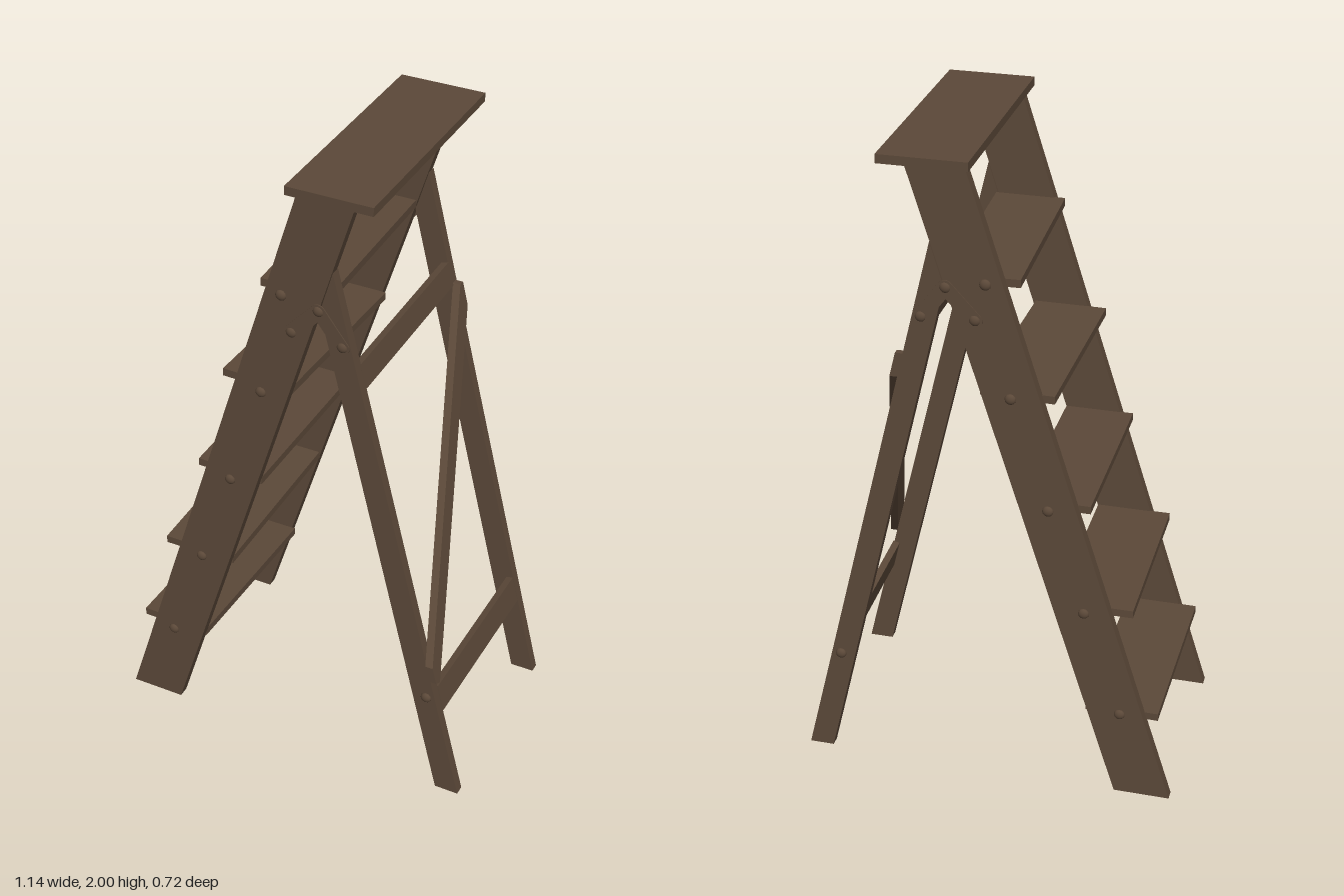
import * as THREE from 'three';

const wood = new THREE.MeshStandardMaterial({ color: 0x5c4939 });
wood.name = 'dark wood';

export function createModel() {
  const model = new THREE.Group();
  model.name = 'stepladder';

  const add = (name, geometry, parent = model) => {
    const mesh = new THREE.Mesh(geometry, wood);
    mesh.name = name;
    parent.add(mesh);
    return mesh;
  };
  // Flat board: an outline in x and y, extruded from z0 to z1
  const board = (points, z0, z1) => {
    const shape = new THREE.Shape(points.map(([x, y]) => new THREE.Vector2(x, y)));
    return new THREE.ExtrudeGeometry(shape, { depth: z1 - z0, bevelEnabled: false }).translate(0, 0, z0);
  };
  // x of the rear legs' outer edge at a given height
  const legEdge = (y) => 0.57 - 0.2425 * y;

  // Top platform
  add('platform', new THREE.BoxGeometry(0.256, 0.026, 0.716)).position.set(0.152, 1.987, 0);

  // Side frames: wide rail, narrow rear leg, hinge plate and bolts
  const bolts = [
    [-0.01, 1.64], [-0.08, 1.3], [-0.19, 0.955], [-0.3, 0.625], [-0.415, 0.285],
    [0.02, 1.53], [0.103, 1.62], [0.175, 1.525], [0.455, 0.355],
  ];
  for (const side of [1, -1]) {
    const frame = new THREE.Group();
    frame.name = side > 0 ? 'frontSideFrame' : 'rearSideFrame';
    model.add(frame);
    const slab = (name, points, inner, outer) =>
      add(name, side > 0 ? board(points, inner, outer) : board(points, -outer, -inner), frame);

    slab('rail', [[-0.575, 0], [-0.405, 0], [0.215, 1.976], [0.045, 1.976]], 0.29, 0.323);
    slab('rearLeg', [[0.495, 0], [0.57, 0], [0.146, 1.75], [0.107, 1.62]], 0.291, 0.322);

    // Hinge arms with rounded ends around the pivot
    for (const [x, y] of [[0.02, 1.53], [0.175, 1.525]]) {
      const dx = x - 0.103, dy = y - 1.62, r = 0.022;
      const a = Math.atan2(dy, dx);
      const arm = new THREE.Shape();
      arm.absarc(x, y, r, a - Math.PI / 2, a + Math.PI / 2);
      arm.absarc(0.103, 1.62, r, a + Math.PI / 2, a + Math.PI * 1.5);
      const plate = new THREE.ExtrudeGeometry(arm, { depth: 0.003, bevelEnabled: false, curveSegments: 8 });
      add('hingeArm', plate.translate(0, 0, side > 0 ? 0.323 : -0.326), frame);
    }
    // Domed bolt heads
    for (const [x, y] of bolts) {
      const head = new THREE.SphereGeometry(0.017, 12, 4, 0, Math.PI * 2, 0, Math.PI / 2);
      const bolt = add('bolt', head.scale(1, 0.6, 1).rotateX(side * Math.PI / 2), frame);
      bolt.position.set(x, y, side * 0.322);
    }
  }

  // Treads, each a little out of true: left x, depth, height, tilt, yaw
  const treads = [
    [-0.532, 0.222, 0.279, -0.02, -0.017],
    [-0.44, 0.23, 0.621, 0.012, 0.003],
    [-0.31, 0.21, 0.958, 0, -0.004],
    [-0.21, 0.218, 1.302, -0.013, -0.03],
    [-0.094, 0.209, 1.642, -0.013, 0.025],
  ];
  treads.forEach(([x, depth, y, tilt, yaw], i) => {
    const tread = add('tread' + (i + 1), new THREE.BoxGeometry(depth, 0.024, 0.586));
    tread.position.set(x + depth / 2, y, 0);
    tread.rotation.set(tilt, yaw, 0);
  });

  // Crossbars flush with the outer faces of the rear legs
  for (const [name, low, high, tilt] of [['lowerCrossbar', 0.285, 0.375, -0.035], ['upperCrossbar', 1.388, 1.465, 0.008]]) {
    const mid = (low + high) / 2;
    const bar = add(name, new THREE.BoxGeometry(0.022, high - low, 0.588));
    bar.position.set(legEdge(mid) - 0.01, mid, 0);
    bar.rotation.set(tilt, 0, Math.atan(0.2425));
  }

  // Diagonal brace laid over the rear legs, sheared to follow their slope
  const outline = [[0.308, 0.42], [0.33, 0.43], [0.33, 0.485], [-0.297, 1.4], [-0.316, 1.4], [-0.316, 1.325]];
  const brace = board(outline.map(([z, y]) => [-z, y]), 0, 0.024).rotateY(Math.PI / 2);
  const p = brace.attributes.position;
  for (let i = 0; i < p.count; i++) p.setX(i, p.getX(i) + legEdge(p.getY(i)));
  brace.computeVertexNormals();
  add('diagonalBrace', brace);

  return model;
}
